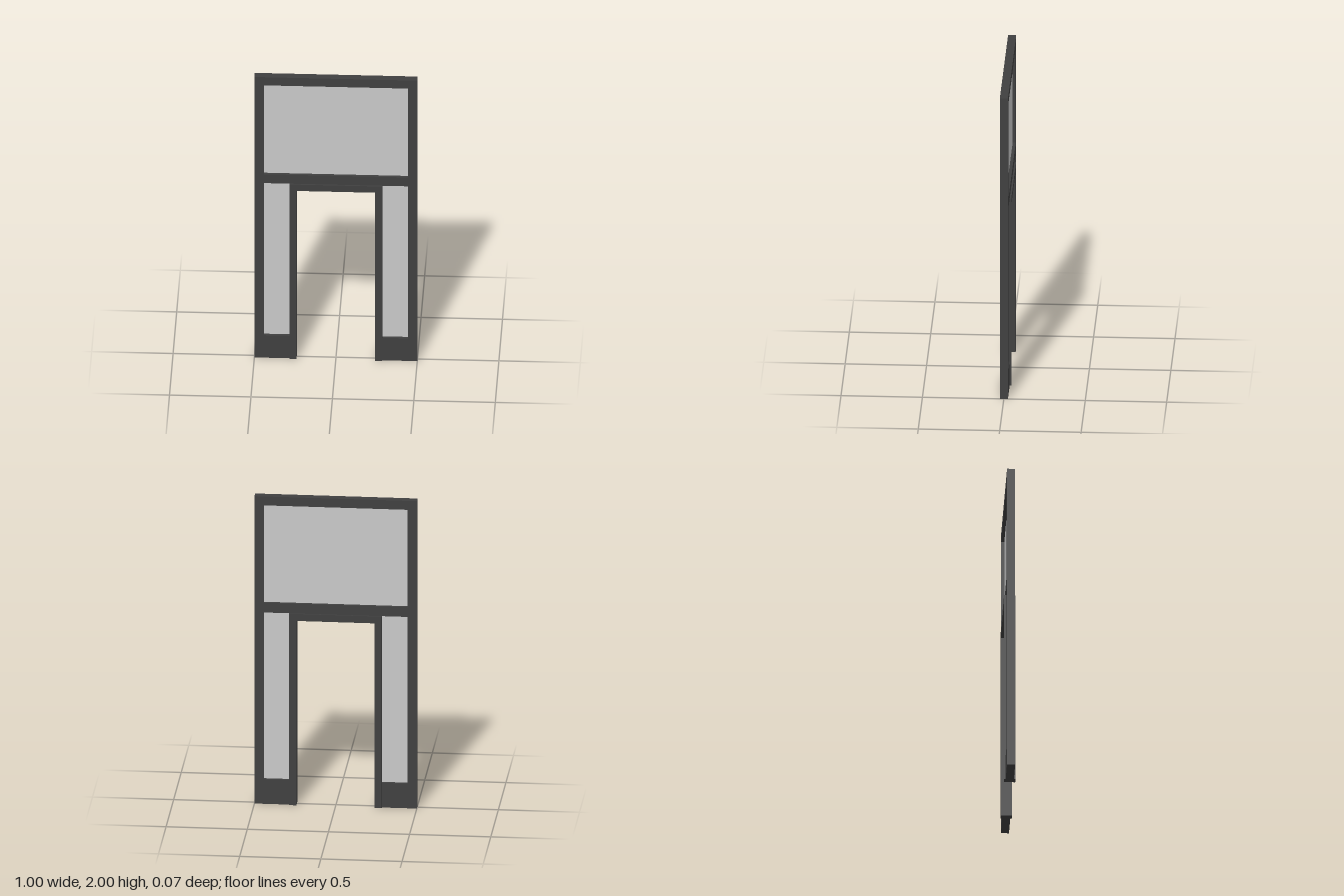
import * as THREE from 'three';

const frameMaterial = new THREE.MeshStandardMaterial({ color: 0x404040 });
frameMaterial.name = 'dark frame';
const glassMaterial = new THREE.MeshStandardMaterial({ color: 0xc9c9c9 });
glassMaterial.name = 'pale glass';

const FRAME_DEPTH = 0.05;
const DOOR_DEPTH = 0.07;
const GLASS_DEPTH = 0.012;

// Box given by its x and y limits, centred on z = 0
function slab(name, x0, x1, y0, y1, depth, material) {
  const mesh = new THREE.Mesh(new THREE.BoxGeometry(x1 - x0, y1 - y0, depth), material);
  mesh.position.set((x0 + x1) / 2, (y0 + y1) / 2, 0);
  mesh.name = name;
  return mesh;
}

export function createModel() {
  const model = new THREE.Group();
  model.name = 'glazedDoorway';

  // Outer frame rails
  model.add(slab('topRail', -0.442, 0.442, 1.942, 2, FRAME_DEPTH, frameMaterial));
  model.add(slab('middleRail', -0.442, 0.442, 1.245, 1.308, FRAME_DEPTH, frameMaterial));

  // Upper window
  model.add(slab('upperGlass', -0.442, 0.442, 1.308, 1.942, GLASS_DEPTH, glassMaterial));

  // Thicker lining around the opening
  model.add(slab('doorHead', -0.241, 0.241, 1.2, 1.245, DOOR_DEPTH, frameMaterial));

  // Mirrored posts, jambs, base panels and side windows
  for (const [side, s] of [['left', 1], ['right', -1]]) {
    const add = (part, a, b, y0, y1, depth, material) =>
      model.add(slab(side + part, Math.min(s * a, s * b), Math.max(s * a, s * b), y0, y1, depth, material));
    add('Post', 0.442, 0.5, 0, 2, FRAME_DEPTH, frameMaterial);
    add('DoorJamb', 0.241, 0.285, 0, 1.245, DOOR_DEPTH, frameMaterial);
    add('BasePanel', 0.285, 0.442, 0, 0.16, FRAME_DEPTH, frameMaterial);
    add('SideGlass', 0.285, 0.442, 0.16, 1.245, GLASS_DEPTH, glassMaterial);
  }
  return model;
}
